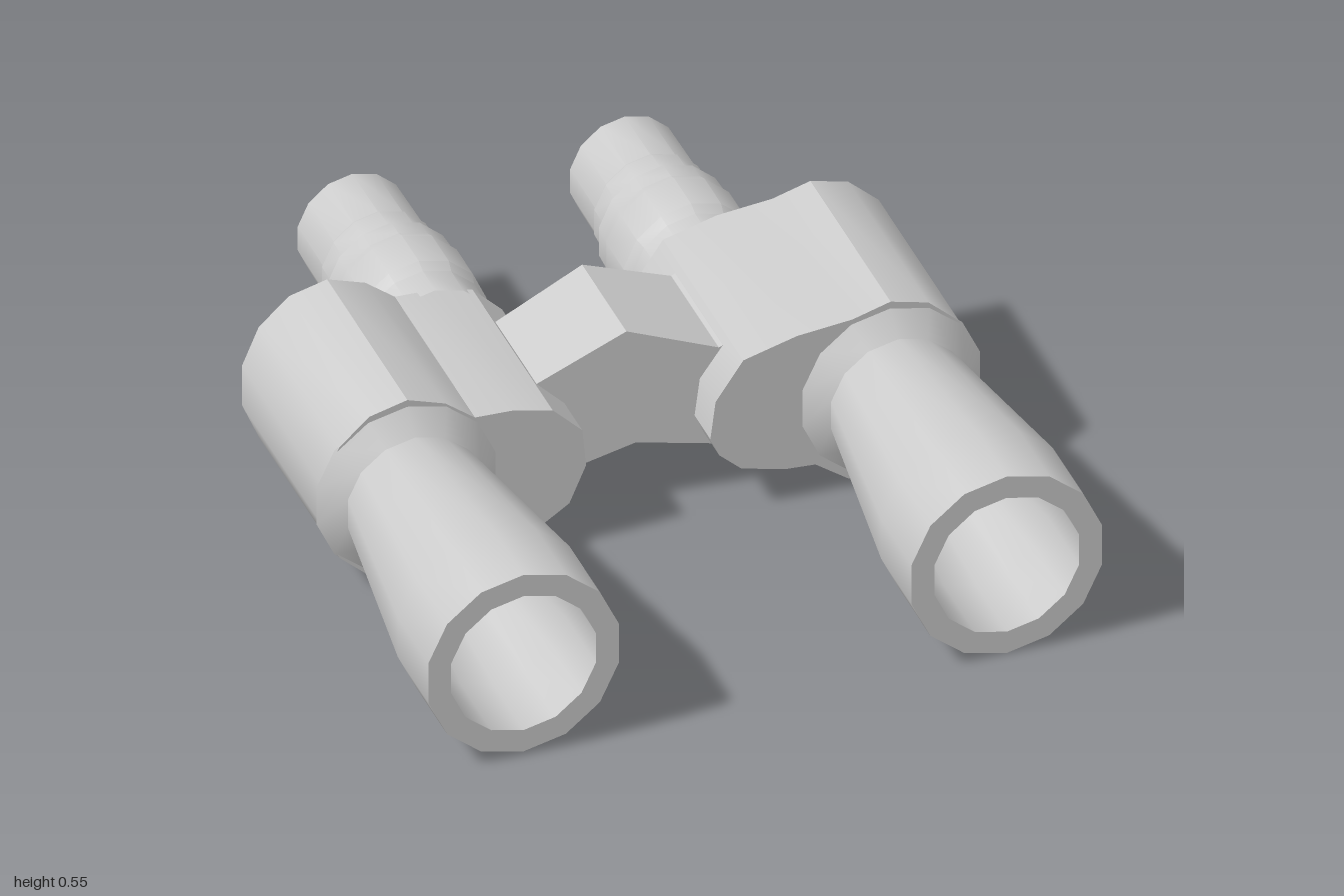
import * as THREE from 'three';
import { toCreasedNormals } from 'three/addons/utils/BufferGeometryUtils.js';

const SIDES = 14;
const CREASE = 0.53;
const material = new THREE.MeshStandardMaterial({ color: 0xcccccc });

function part(name, geometry) {
  const mesh = new THREE.Mesh(toCreasedNormals(geometry, CREASE), material);
  mesh.name = name;
  return mesh;
}

// Turned part along z; profile holds [radius, z] from back to front
function turned(name, profile, x, y, squash) {
  const points = profile.map(([r, z]) => new THREE.Vector2(r, z));
  const geometry = new THREE.LatheGeometry(points, SIDES);
  geometry.rotateX(Math.PI / 2);
  geometry.scale(squash, 1, 1);
  geometry.translate(x, y, 0);
  return part(name, geometry);
}

function extruded(outline, depth, z) {
  const shape = new THREE.Shape(outline.map(([x, y]) => new THREE.Vector2(x, y)));
  const geometry = new THREE.ExtrudeGeometry(shape, { depth, bevelEnabled: false });
  geometry.translate(0, 0, z);
  return geometry;
}

// Prism housing: outer half is round, inner half is a lobe towards the hinge
function housing(name, side, y, lobe) {
  const outline = [];
  for (let i = 0; i <= SIDES / 2; i++) {
    const a = (i / SIDES) * Math.PI * 2;
    outline.push([side * (0.653 + 0.236 * Math.sin(a)), y + 0.27 * Math.cos(a)]);
  }
  for (const [x, ly] of lobe) outline.push([side * x, ly]);
  return part(name, extruded(outline, 0.58, -0.42));
}

// Hollow objective barrel with flared neck
const barrelProfile = [
  [0.255, 0.155], [0.19, 0.215], [0.27, 0.78], [0.27, 1],
  [0.205, 1], [0.205, 0.78], [0.142, 0.23], [0, 0.23],
];
const eyepieceProfile = [
  [0, -1], [0.1625, -1], [0.165, -0.815], [0.171, -0.805], [0.172, -0.735],
  [0.192, -0.72], [0.194, -0.665], [0.202, -0.64], [0.202, -0.52],
  [0.19, -0.49], [0.188, -0.4],
];

// Lobe points run from the bottom, around the hinge side, to the top
const sides = [
  {
    name: 'right', side: -1, y: 0.29,
    lobe: [[0.54, 0.043], [0.41, 0.057], [0.29, 0.09], [0.215, 0.14], [0.17, 0.245],
      [0.18, 0.355], [0.26, 0.435], [0.37, 0.46], [0.47, 0.463], [0.55, 0.525]],
  },
  {
    name: 'left', side: 1, y: 0.28,
    lobe: [[0.54, 0.035], [0.45, 0.1], [0.37, 0.105], [0.25, 0.135], [0.19, 0.19],
      [0.166, 0.245], [0.18, 0.355], [0.255, 0.465], [0.4, 0.505], [0.55, 0.52]],
  },
];

export function createModel() {
  const model = new THREE.Group();
  model.name = 'binoculars';

  for (const { name, side, y, lobe } of sides) {
    const half = new THREE.Group();
    half.name = name + 'Half';
    half.add(
      housing(name + 'Housing', side, y, lobe),
      turned(name + 'Barrel', barrelProfile, side * 0.653, y, 0.978),
      turned(name + 'Eyepiece', eyepieceProfile, side * 0.368, 0.283, 0.93),
    );
    model.add(half);
  }

  // Hinge bridge, slightly deeper towards +x
  const bridge = extruded([
    [-0.255, 0.125], [0.01, 0.195], [0.28, 0.135],
    [0.28, 0.46], [0.23, 0.44], [-0.015, 0.54], [-0.255, 0.428],
  ], 1, -0.5);
  const p = bridge.attributes.position;
  for (let i = 0; i < p.count; i++) {
    p.setZ(i, -0.123 + p.getZ(i) * (0.322 + 0.094 * p.getX(i)));
  }
  model.add(part('hingeBridge', bridge));

  return model;
}
